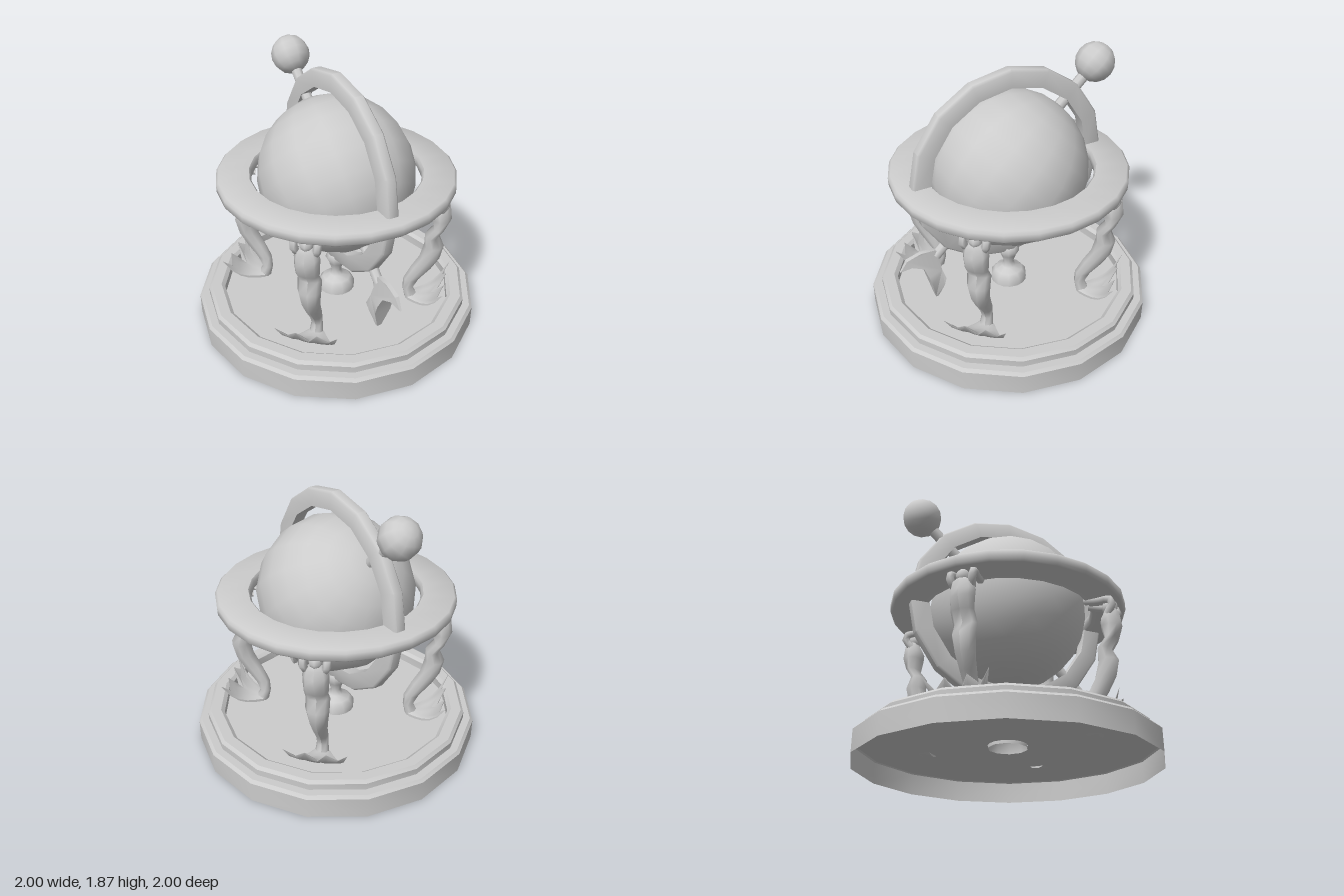
import * as THREE from 'three';
import { toCreasedNormals } from 'three/addons/utils/BufferGeometryUtils.js';

const grey = new THREE.MeshStandardMaterial({ color: 0xcccccc });
const greyOpen = new THREE.MeshStandardMaterial({ color: 0xcccccc, side: THREE.DoubleSide });

function add(parent, name, geometry, material = grey) {
  const mesh = new THREE.Mesh(geometry, material);
  mesh.name = name;
  parent.add(mesh);
  return mesh;
}

function lathe(points, segments) {
  return new THREE.LatheGeometry(points.map(([r, y]) => new THREE.Vector2(r, y)), segments);
}

function editVertices(geometry, rule) {
  const p = geometry.attributes.position;
  const v = new THREE.Vector3();
  for (let i = 0; i < p.count; i++) {
    rule(v.fromBufferAttribute(p, i));
    p.setXYZ(i, v.x, v.y, v.z);
  }
  geometry.computeVertexNormals();
  return geometry;
}

// Figure's torso and tail: [height, distance from centre, half depth, half width]
const bodySections = [
  [0.99, 0.735, 0.035, 0.04], [0.965, 0.735, 0.05, 0.07], [0.91, 0.725, 0.068, 0.085],
  [0.86, 0.73, 0.07, 0.083], [0.78, 0.725, 0.042, 0.078], [0.71, 0.675, 0.047, 0.08],
  [0.63, 0.695, 0.068, 0.078], [0.52, 0.67, 0.07, 0.064], [0.42, 0.615, 0.07, 0.05],
  [0.31, 0.55, 0.054, 0.043], [0.23, 0.53, 0.038, 0.04], [0.15, 0.56, 0.05, 0.05],
];

function bodyGeometry() {
  const rows = bodySections.length - 1;
  return editVertices(new THREE.CylinderGeometry(1, 1, 1, 8, rows), (v) => {
    const [y, r, depth, width] = bodySections[Math.round((0.5 - v.y) * rows)];
    v.set(v.x * width, y, r + v.z * depth);
  });
}

// Thick fluke lying on the floor, its notched outer edge curling up steeply
function flukeGeometry() {
  const notch = [0.4, 0.9, 0.6, 1];
  return editVertices(new THREE.BoxGeometry(2, 1, 1, 6, 1, 5), (v) => {
    const s = v.x;
    const t = v.z + 0.5;
    const n = notch[Math.round(Math.abs(s) * 3)];
    const thickness = 0.05 * (1 - 0.85 * t * t) * (1 - 0.6 * s * s);
    const y = 0.16 + 0.2 * n * t ** 3 + 0.03 * s * s * t * (1 - t) + v.y * thickness;
    v.set(s * (0.05 + 0.16 * t), y, 0.54 + t * (0.16 + 0.1 * n));
  });
}

function supportFigure() {
  const figure = new THREE.Group();
  figure.name = 'supportFigure';
  add(figure, 'body', bodyGeometry());
  add(figure, 'tailFluke', toCreasedNormals(flukeGeometry(), 0.8));
  const head = add(figure, 'head', new THREE.SphereGeometry(0.05, 8, 6));
  head.position.set(0, 1.01, 0.725);
  head.scale.set(0.9, 1.1, 1.1);
  for (const side of [-1, 1]) {
    const path = new THREE.CatmullRomCurve3([
      new THREE.Vector3(side * 0.055, 0.94, 0.72),
      new THREE.Vector3(side * 0.075, 1.0, 0.76),
      new THREE.Vector3(side * 0.075, 1.035, 0.74),
      new THREE.Vector3(side * 0.06, 1.045, 0.66),
      new THREE.Vector3(side * 0.045, 1.065, 0.57),
    ]);
    add(figure, 'arm', new THREE.TubeGeometry(path, 8, 0.027, 6), greyOpen);
  }
  return figure;
}

// Curved leaf at the foot of the axis: broad blade below, thin tip hooking outward
function leafGeometry() {
  const outline = [[0.51, 0.57], [0.58, 0.605], [0.68, 0.61], [0.78, 0.58], [0.83, 0.5],
    [0.75, 0.525], [0.67, 0.49], [0.645, 0.42], [0.625, 0.35], [0.59, 0.2], [0.57, 0.2],
    [0.53, 0.31], [0.525, 0.38], [0.545, 0.45], [0.55, 0.51]];
  const shape = new THREE.Shape(outline.map(([u, y]) => new THREE.Vector2(u, y)));
  const g = new THREE.ExtrudeGeometry(shape, { depth: 2, bevelEnabled: false });
  return editVertices(g, (v) => {
    const widest = 0.07 - 0.3 * Math.abs(v.y - 0.38);
    v.z = (v.z - 1) * (v.x > 0.8 ? 0.006 : Math.max(0.015, widest));
  });
}

export function createModel() {
  const model = new THREE.Group();
  model.name = 'globeStand';

  // Stepped plinth, hollow beneath, with a sunken floor
  const plinth = lathe([[1, 0], [1, 0.145], [0.98, 0.165], [0.93, 0.165], [0.93, 0.21],
    [0.91, 0.23], [0.84, 0.23], [0.815, 0.21], [0.815, 0.15]], 16);
  add(model, 'plinth', toCreasedNormals(plinth, 0.5), greyOpen);
  add(model, 'floor', lathe([[0.985, 0.15], [0.13, 0.15]], 16), greyOpen);

  add(model, 'pedestal', lathe([[0.13, 0.13], [0.13, 0.2], [0.1, 0.235], [0.05, 0.26],
    [0.035, 0.3], [0.055, 0.36], [0.08, 0.41], [0.06, 0.44]], 10), greyOpen);

  // Flat horizon ring with rounded rims
  const horizon = lathe([[0.59, 1.055], [0.795, 1.055], [0.81, 1.07], [0.812, 1.12], [0.795, 1.137],
    [0.59, 1.137], [0.577, 1.12], [0.577, 1.07], [0.59, 1.055]], 24);
  add(model, 'horizonRing', toCreasedNormals(horizon, 0.9));

  // Four figures carry the horizon ring
  for (let i = 0; i < 4; i++) {
    const figure = supportFigure();
    figure.rotation.y = i * Math.PI / 2 + 0.02;
    model.add(figure);
  }

  // Diagonal plane holding the meridian ring, the tilted axis and the leaf
  const diagonal = new THREE.Group();
  diagonal.name = 'globeAssembly';
  diagonal.rotation.y = -Math.PI / 4;
  model.add(diagonal);

  const meridian = lathe([[0.587, -0.043], [0.695, -0.043], [0.71, -0.03], [0.71, 0.03],
    [0.695, 0.043], [0.587, 0.043], [0.587, -0.043]], 16);
  meridian.rotateX(Math.PI / 2);
  add(diagonal, 'meridianRing', toCreasedNormals(meridian, 0.9)).position.y = 1.11;

  const axis = new THREE.Group();
  axis.name = 'tiltedAxis';
  axis.position.y = 1.1;
  axis.rotation.z = 0.8;
  diagonal.add(axis);
  add(axis, 'globe', new THREE.SphereGeometry(0.54, 16, 12));
  add(axis, 'finialBall', new THREE.SphereGeometry(0.135, 10, 8)).position.y = 0.906;
  add(axis, 'upperPin', new THREE.CylinderGeometry(0.038, 0.038, 0.32, 8)).position.y = 0.66;
  add(axis, 'lowerPin', new THREE.CylinderGeometry(0.036, 0.036, 0.3, 8)).position.y = -0.64;

  add(diagonal, 'leaf', toCreasedNormals(leafGeometry(), 0.7));
  return model;
}
